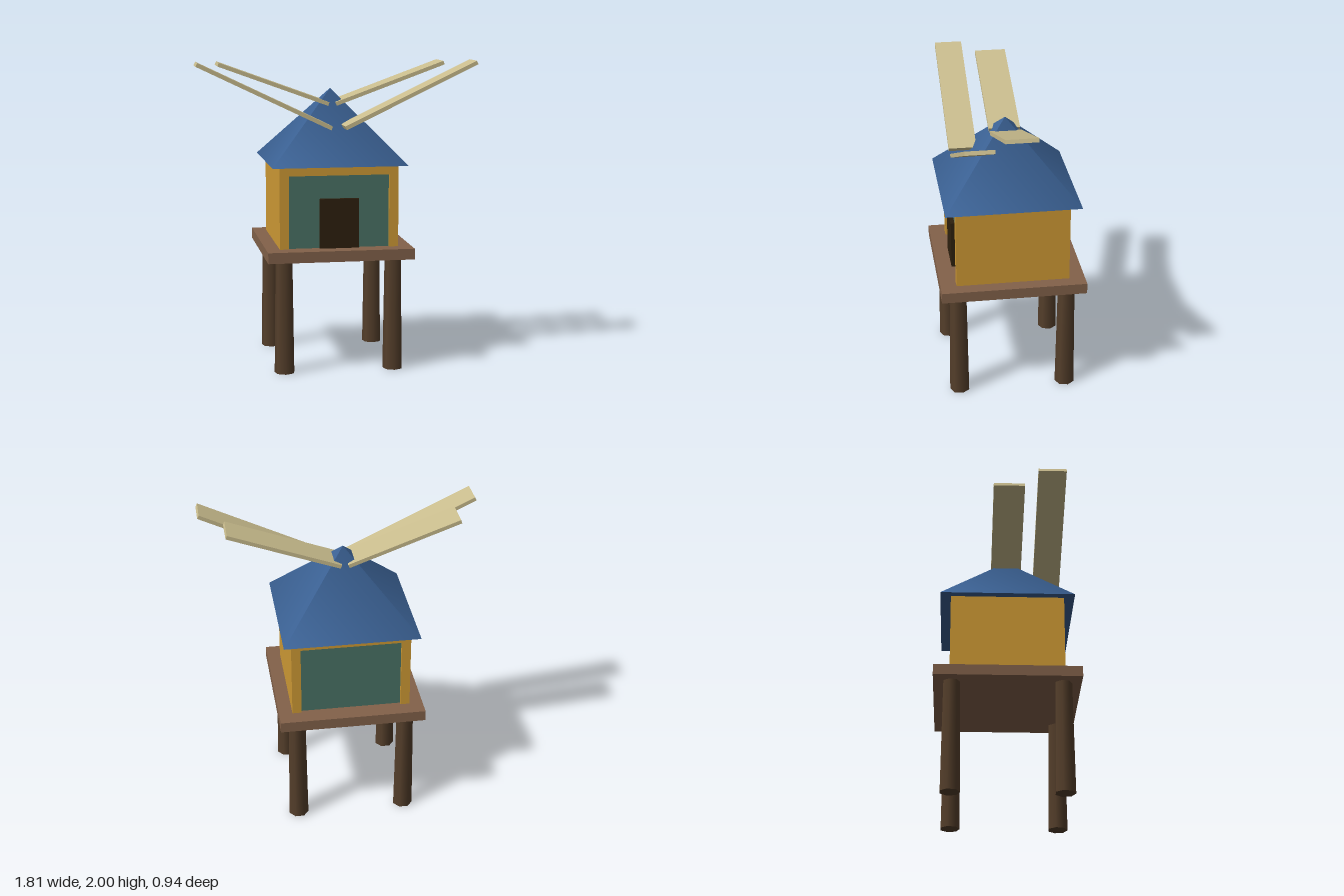
import * as THREE from 'three';

const mat = (name, color) => {
  const m = new THREE.MeshStandardMaterial({ color });
  m.name = name;
  return m;
};

export function createModel() {
  const model = new THREE.Group();
  model.name = 'stiltHouse';
  const darkWood = mat('dark wood', 0x553f2b);
  const plank = mat('plank brown', 0x83624a);
  const ochre = mat('ochre wall', 0xd09b35);
  const teal = mat('teal panel', 0x4a7366);
  const doorBrown = mat('door brown', 0x2e200e);
  const roofBlue = mat('roof blue', 0x3a6092);
  const straw = mat('pale wood', 0xcabd8e);

  const add = (name, geometry, material, x, y, z) => {
    const mesh = new THREE.Mesh(geometry, material);
    mesh.name = name;
    mesh.position.set(x, y, z);
    model.add(mesh);
    return mesh;
  };
  const box = (name, w, h, d, material, x, y, z) =>
    add(name, new THREE.BoxGeometry(w, h, d), material, x, y, z);

  // Four tapered stilts
  const legGeometry = new THREE.CylinderGeometry(0.056, 0.066, 0.74, 7);
  for (const x of [-0.356, 0.356])
    for (const z of [-0.356, 0.356]) add('stilt', legGeometry, darkWood, x, 0.37, z);

  box('platform', 0.945, 0.07, 0.945, plank, 0, 0.775, 0);

  // House: side walls and lintel frame panels recessed at front and back
  for (const s of [-1, 1]) box('sideWall', 0.06, 0.53, 0.738, ochre, s * 0.355, 1.075, 0);
  box('lintel', 0.65, 0.06, 0.738, ochre, 0, 1.31, 0);
  box('recessedPanels', 0.65, 0.47, 0.698, teal, 0, 1.045, 0);
  box('door', 0.252, 0.32, 0.03, doorBrown, 0, 0.97, 0.359);

  // Pyramid roof
  const roof = add('roof', new THREE.ConeGeometry(0.618, 0.47, 4), roofBlue, 0, 1.575, 0);
  roof.rotation.y = Math.PI / 4;

  // Mirrored pairs of raised boards: inner end, outer end, width, depth position
  const boards = [
    { name: 'frontBoard', from: [0.045, 1.579], to: [0.898, 1.988], width: 0.18, z: 0.27 },
    { name: 'ridgeBoard', from: [0.024, 1.712], to: [0.742, 1.974], width: 0.203, z: 0 },
  ];
  for (const { name, from, to, width, z } of boards) {
    const dx = to[0] - from[0], dy = to[1] - from[1];
    for (const s of [-1, 1]) {
      const board = box(name, Math.hypot(dx, dy), 0.025, width, straw,
        s * (from[0] + to[0]) / 2, (from[1] + to[1]) / 2, z);
      board.rotation.z = s * Math.atan2(dy, dx);
    }
  }
  return model;
}
